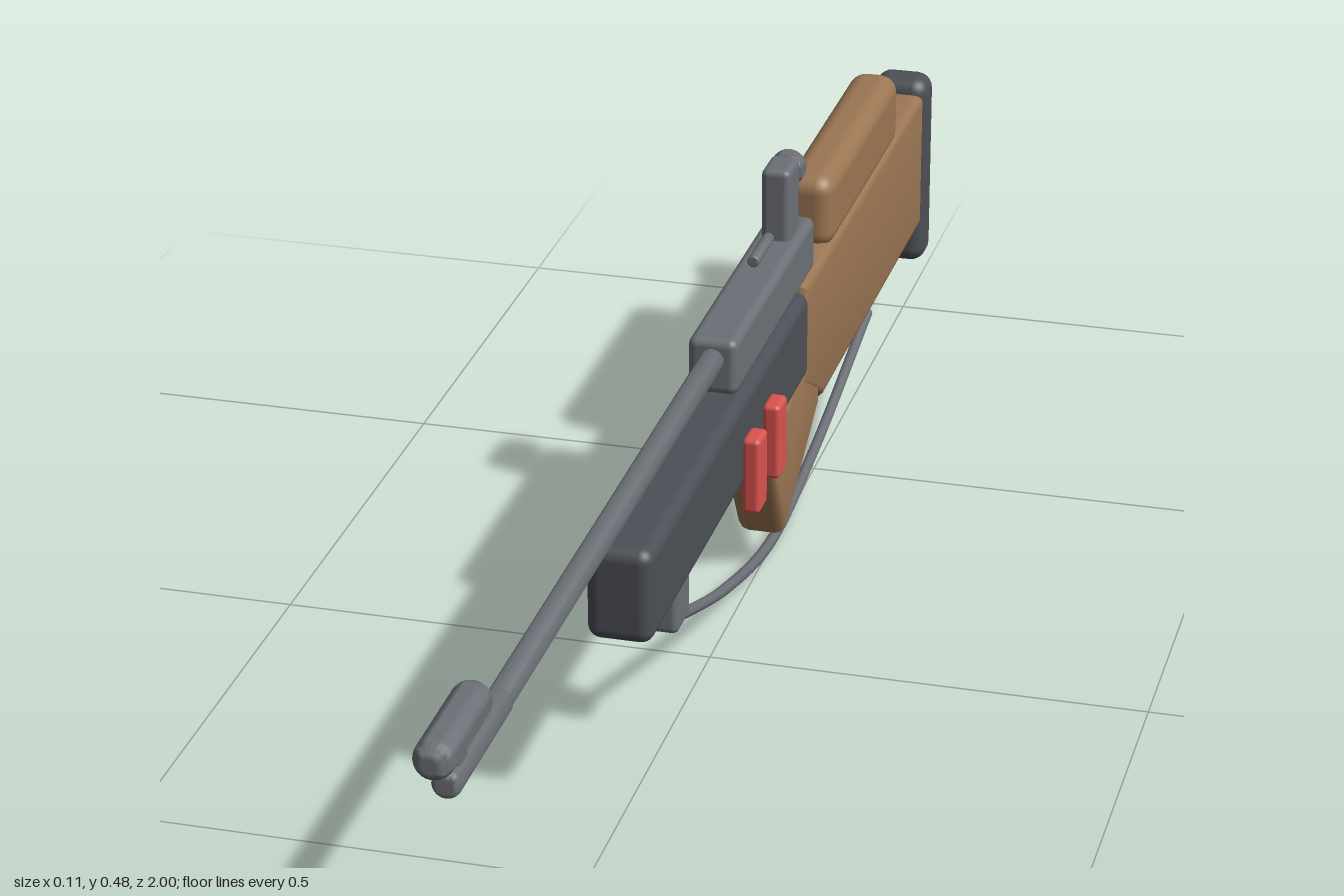
import * as THREE from 'three';
import { toCreasedNormals } from 'three/addons/utils/BufferGeometryUtils.js';
import { RoundedBoxGeometry } from 'three/addons/geometries/RoundedBoxGeometry.js';

const paint = (color) => new THREE.MeshStandardMaterial({ color });

export function createModel() {
  const model = new THREE.Group();
  const steel = paint(0x6c7076), dark = paint(0x4c4f56);
  const wood = paint(0x9b7653), red = paint(0xd9534f);

  const add = (name, geometry, material) => {
    const mesh = new THREE.Mesh(geometry, material);
    mesh.name = name;
    model.add(mesh);
    return mesh;
  };

  // Rounded box given by its extents: width in x, then y and z ranges
  const block = (name, material, w, [y0, y1], [z0, z1], radius, x = 0) =>
    add(name, new RoundedBoxGeometry(w, y1 - y0, z1 - z0, 3, radius), material)
      .position.set(x, (y0 + y1) / 2, (z0 + z1) / 2);

  // Side profile of [z, y] points, extruded across x with rounded edges
  const slab = (name, material, w, points, bevel) => {
    const shape = new THREE.Shape(points.map(([z, y]) => new THREE.Vector2(z, y)));
    const g = new THREE.ExtrudeGeometry(shape, {
      depth: w - 2 * bevel, bevelEnabled: true, bevelSize: bevel,
      bevelThickness: bevel, bevelOffset: -bevel, bevelSegments: 3,
    });
    g.translate(0, 0, -(w - 2 * bevel) / 2);
    g.rotateY(-Math.PI / 2);
    add(name, toCreasedNormals(g, 0.7), material);
  };

  // Round rod along z with softened ends
  const rod = (name, material, r, y, [z0, z1], soft) => {
    const h = (z1 - z0) / 2;
    const profile = [new THREE.Vector2(0, -h)];
    for (const side of [-1, 1]) {
      for (let i = 0; i <= 5; i++) {
        const a = (side < 0 ? i - 5 : i) / 5 * Math.PI / 2;
        profile.push(new THREE.Vector2(r - soft + soft * Math.cos(a), side * (h - soft) + soft * Math.sin(a)));
      }
    }
    profile.push(new THREE.Vector2(0, h));
    const g = new THREE.LatheGeometry(profile, 20);
    g.rotateX(Math.PI / 2);
    add(name, toCreasedNormals(g, 0.7), material).position.set(0, y, (z0 + z1) / 2);
  };

  // Wooden stock, grip and cheek rest, with a dark butt pad
  slab('stock', wood, 0.062, [[-0.325, 0.322], [-0.96, 0.322], [-0.96, 0.14], [-0.415, 0.14], [-0.31, 0.2]], 0.012);
  slab('grip', wood, 0.06, [[-0.157, 0.182], [-0.237, 0.045], [-0.405, 0.14], [-0.4, 0.25], [-0.28, 0.225]], 0.014);
  block('cheekRest', wood, 0.06, [0.312, 0.405], [-0.815, -0.449], 0.022);
  block('buttPad', dark, 0.072, [0.088, 0.34], [-1, -0.946], 0.02);

  // Fore-end
  block('foreEnd', dark, 0.072, [0.213, 0.322], [-0.32, 0.375], 0.015);

  // Receiver, bolt and barrel
  block('receiver', steel, 0.056, [0.325, 0.391], [-0.376, -0.008], 0.01);
  rod('bolt', steel, 0.007, 0.407, [-0.264, -0.19], 0.003);
  rod('barrel', steel, 0.0135, 0.367, [-0.05, 0.8], 0.004);
  rod('muzzle', steel, 0.015, 0.367, [0.78, 0.957], 0.01);

  // Front sight tunnel on its post, and rear sight with eyepiece
  block('frontSightPost', steel, 0.018, [0.365, 0.41], [0.91, 0.938], 0.004);
  rod('frontSight', steel, 0.0205, 0.412, [0.853, 1], 0.019);
  block('rearSight', steel, 0.034, [0.38, 0.477], [-0.344, -0.292], 0.008);
  rod('eyepiece', steel, 0.0205, 0.457, [-0.368, -0.34], 0.009);

  // Spare magazines, two on each side of the fore-end
  for (const side of [-1, 1]) {
    for (const z of [-0.026, -0.117]) {
      block('magazine', red, 0.021, [0.184, 0.275], [z - 0.019, z + 0.019], 0.006, side * 0.0445);
    }
  }

  // Hand stop and sling
  block('handStop', steel, 0.036, [0.137, 0.222], [0.15, 0.205], 0.008);
  const path = new THREE.CatmullRomCurve3(
    [[0.14, 0.18], [0.054, -0.07], [0.009, -0.29], [0.028, -0.5], [0.086, -0.785]]
      .map(([y, z]) => new THREE.Vector3(0, y, z)));
  add('sling', new THREE.TubeGeometry(path, 48, 0.0065, 10), steel);
  for (const t of [0, 1]) {
    add('slingEnd', new THREE.SphereGeometry(0.0065, 10, 8), steel).position.copy(path.getPoint(t));
  }

  return model;
}
